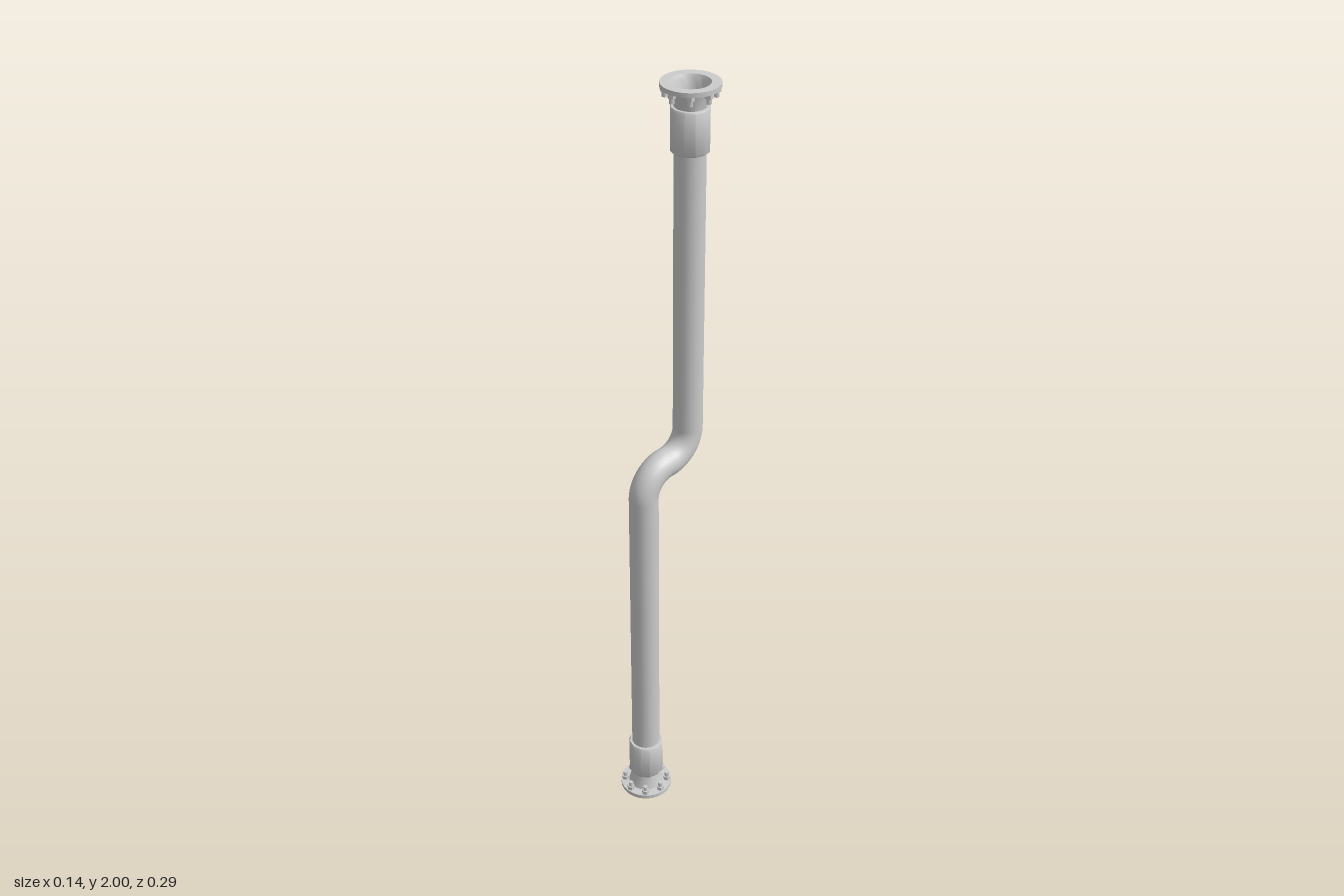
import * as THREE from 'three';
import { toCreasedNormals } from 'three/addons/utils/BufferGeometryUtils.js';

const PIPE_R = 0.037, OFFSET = 0.075, MID_Y = 1.037, BEND = 0.075;
const material = new THREE.MeshStandardMaterial({ color: 0xcccccc });

function part(name, geometry, parent, x = 0, y = 0, z = 0) {
  const mesh = new THREE.Mesh(geometry, material);
  mesh.name = name;
  mesh.position.set(x, y, z);
  parent.add(mesh);
  return mesh;
}

function lathe(points, sides) {
  const profile = points.map(([r, y]) => new THREE.Vector2(r, y));
  return toCreasedNormals(new THREE.LatheGeometry(profile, sides), 0.6);
}

// Flanged end fitting, standing on its face at y = 0
function endFitting(name) {
  const fitting = new THREE.Group();
  fitting.name = name;

  // Flange with a recessed mouth and a tapering neck
  part('flange', lathe([
    [0, 0.045], [0.034, 0.045], [0.04, 0.012], [0.0465, 0],
    [0.069, 0], [0.069, 0.011], [0.047, 0.012], [0.041, 0.03], [0.037, 0.058],
  ], 24), fitting);

  // Sleeve over the pipe end
  part('sleeve', lathe([
    [0.03, 0.055], [0.044, 0.055], [0.046, 0.058],
    [0.046, 0.157], [0.044, 0.16], [0.036, 0.16],
  ], 12), fitting);

  // Ring of eight bolts with hexagonal nuts
  const nut = toCreasedNormals(new THREE.CylinderGeometry(0.01, 0.01, 0.011, 6), 0.3);
  const shank = new THREE.CylinderGeometry(0.006, 0.006, 0.026, 8);
  for (let i = 0; i < 8; i++) {
    const a = i * Math.PI / 4, x = 0.057 * Math.cos(a), z = 0.057 * Math.sin(a);
    part('nut', nut, fitting, x, 0.0165, z);
    part('bolt', shank, fitting, x, 0.022, z);
  }
  return fitting;
}

export function createModel() {
  const model = new THREE.Group();
  model.name = 'offsetPipe';

  // Straight runs
  const lowEnd = MID_Y - BEND, highEnd = MID_Y + BEND;
  const run = (name, y0, y1, z) => part(name,
    new THREE.CylinderGeometry(PIPE_R, PIPE_R, y1 - y0, 24, 1, true), model, 0, (y0 + y1) / 2, z);
  run('lowerPipe', 0.05, lowEnd, OFFSET);
  run('upperPipe', highEnd, 1.95, -OFFSET);

  // Double bend made of two quarter arcs
  const bend = new THREE.Curve();
  bend.getPoint = (t, target = new THREE.Vector3()) => {
    const first = t < 0.5;
    const a = (first ? t : 1 - t) * Math.PI;
    const s = first ? 1 : -1;
    return target.set(0, MID_Y - s * BEND * (1 - Math.sin(a)), s * OFFSET * Math.cos(a));
  };
  part('doubleBend', new THREE.TubeGeometry(bend, 32, PIPE_R, 24, false), model);

  // Matching fittings at both ends
  const bottom = endFitting('bottomFitting');
  bottom.position.set(0, 0, OFFSET);
  const top = endFitting('topFitting');
  top.rotation.x = Math.PI;
  top.position.set(0, 2, -OFFSET);
  model.add(bottom, top);
  return model;
}
